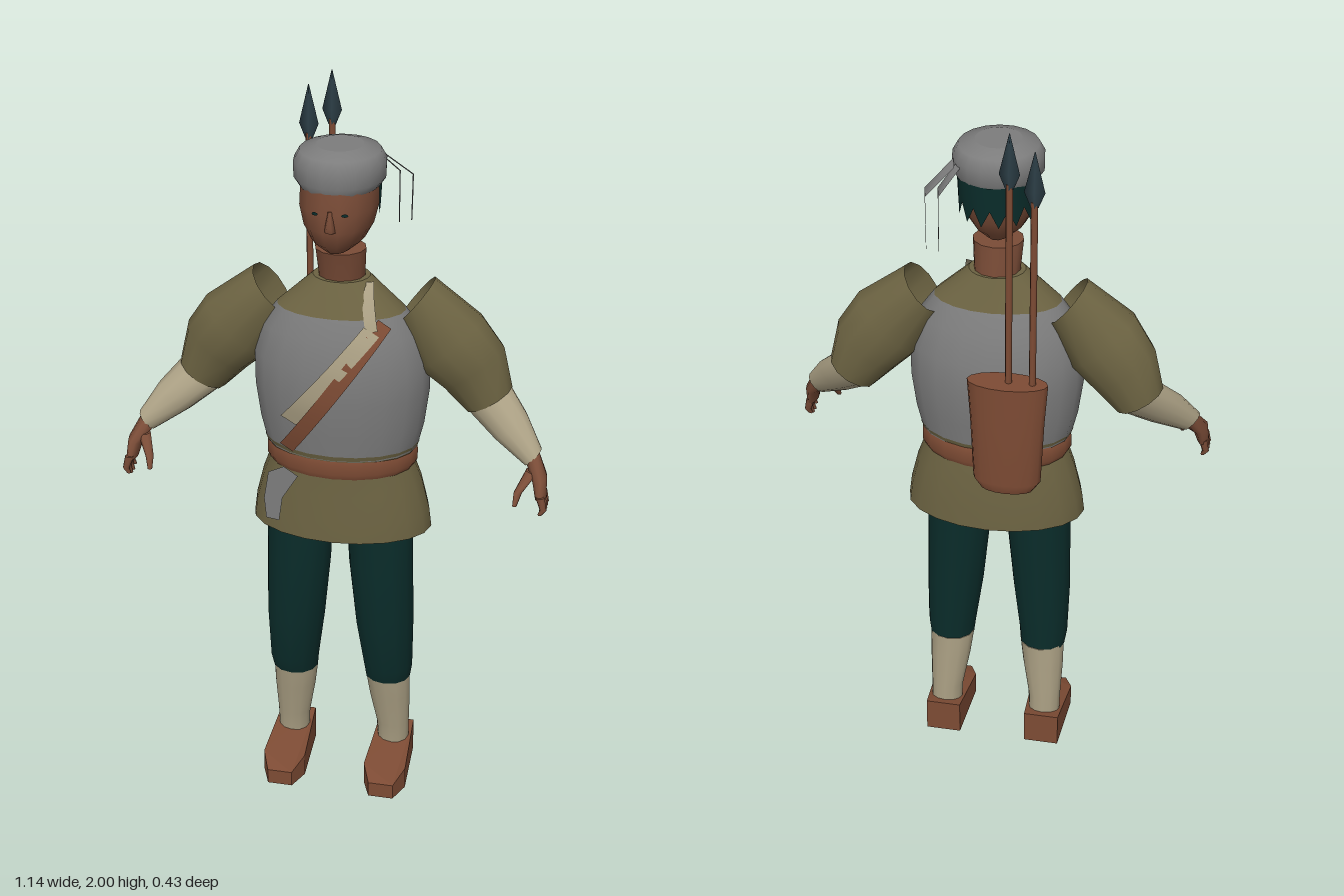
import * as THREE from 'three';

const mat = (name, color, side = THREE.FrontSide) => {
  const m = new THREE.MeshStandardMaterial({ color, side });
  m.name = name;
  return m;
};

// Skin rings listed from bottom to top: [x, y, z, radiusU, radiusZ, tilt in the xy plane]
function loft(rings, sides = 16, capped = true) {
  const pos = [], idx = [];
  const addRing = ([x, y, z, ru, rz, tilt = 0]) => {
    for (let i = 0; i < sides; i++) {
      const a = (i / sides) * Math.PI * 2, u = Math.cos(a) * ru;
      pos.push(x + u * Math.cos(tilt), y + u * Math.sin(tilt), z + Math.sin(a) * rz);
    }
  };
  rings.forEach(addRing);
  for (let r = 0; r < rings.length - 1; r++) {
    for (let i = 0; i < sides; i++) {
      const j = (i + 1) % sides, a = r * sides + i, b = r * sides + j;
      idx.push(a, a + sides, b, b, a + sides, b + sides);
    }
  }
  if (capped) {
    for (const [ring, top] of [[rings[0], false], [rings[rings.length - 1], true]]) {
      const base = pos.length / 3;
      addRing(ring);
      pos.push(ring[0], ring[1], ring[2]);
      for (let i = 0; i < sides; i++) {
        const a = base + i, b = base + (i + 1) % sides, c = base + sides;
        top ? idx.push(b, a, c) : idx.push(a, b, c);
      }
    }
  }
  const g = new THREE.BufferGeometry();
  g.setAttribute('position', new THREE.Float32BufferAttribute(pos, 3));
  g.setIndex(idx);
  g.computeVertexNormals();
  return g;
}

// Flat band through points, widened both ways by the vector w
function ribbon(points, w) {
  const pos = [], idx = [];
  points.forEach(([x, y, z], i) => {
    pos.push(x - w[0], y - w[1], z - w[2], x + w[0], y + w[1], z + w[2]);
    if (i) idx.push(2 * i - 2, 2 * i - 1, 2 * i, 2 * i - 1, 2 * i + 1, 2 * i);
  });
  const g = new THREE.BufferGeometry();
  g.setAttribute('position', new THREE.Float32BufferAttribute(pos, 3));
  g.setIndex(idx);
  g.computeVertexNormals();
  return g;
}

// Torso cross-sections from waist to collar
const TORSO = [
  [0, 1.05, 0.035, 0.205, 0.138], [0, 1.12, 0.035, 0.222, 0.147], [0, 1.22, 0.035, 0.235, 0.157],
  [0, 1.31, 0.038, 0.235, 0.15], [0, 1.39, 0.042, 0.21, 0.128], [0, 1.445, 0.045, 0.17, 0.102],
  [0, 1.49, 0.043, 0.12, 0.082], [0, 1.53, 0.04, 0.075, 0.064],
];

// Front surface of the torso at (x, y)
function chestZ(x, y) {
  let k = 0;
  while (k < TORSO.length - 2 && TORSO[k + 1][1] < y) k++;
  const a = TORSO[k], b = TORSO[k + 1];
  const t = THREE.MathUtils.clamp((y - a[1]) / (b[1] - a[1]), 0, 1);
  const at = (n) => a[n] + (b[n] - a[n]) * t;
  return at(2) + at(4) * Math.sqrt(Math.max(0.05, 1 - (x / at(3)) ** 2)) + 0.008;
}

// Straight strap laid over the chest
function strap(x0, y0, x1, y1, w) {
  const pts = [];
  for (let i = 0; i <= 10; i++) {
    const x = x0 + (x1 - x0) * i / 10, y = y0 + (y1 - y0) * i / 10;
    pts.push([x, y, chestZ(x, y)]);
  }
  return ribbon(pts, w);
}

// Wedge shoe: tapered outline, low at the toe and high at the heel
function shoeGeometry() {
  const s = new THREE.Shape([[-0.05, 0.04], [0.05, 0.04], [0.06, -0.15], [0.035, -0.21], [-0.035, -0.21], [-0.06, -0.15]]
    .map(([x, y]) => new THREE.Vector2(x, y)).reverse());
  const g = new THREE.ExtrudeGeometry(s, { depth: 1, bevelEnabled: false });
  g.rotateX(-Math.PI / 2);
  const p = g.attributes.position;
  for (let i = 0; i < p.count; i++) {
    const z = p.getZ(i);
    if (p.getY(i) > 0.5) p.setY(i, z > 0.18 ? 0.045 : 0.1 - (z + 0.04) * 0.18);
  }
  g.computeVertexNormals();
  return g;
}

export function createModel() {
  const model = new THREE.Group();
  model.name = 'hunter';
  const D = THREE.DoubleSide;
  const skin = mat('skin', 0x7a4c37), leather = mat('leather', 0x7d4b34);
  const olive = mat('oliveCloth', 0x6c6342, D), grey = mat('greyCloth', 0x7c7c7c, D);
  const cream = mat('creamCloth', 0xaba084, D), teal = mat('darkTealCloth', 0x0a2c2a, D);
  const steel = mat('steel', 0x2c3e46), strapBrown = mat('strapLeather', 0x7d4b34, D);
  const add = (name, geo, material, parent = model) => {
    const m = new THREE.Mesh(geo, material);
    m.name = name;
    parent.add(m);
    return m;
  };

  // Torso, belt and skirt
  add('vest', loft(TORSO.slice(0, 6), 20, false), grey);
  add('shirtYoke', loft(TORSO.slice(5), 20), olive);
  add('shirtHem', loft([[0, 1.04, 0.035, 0.2, 0.135], [0, 1.065, 0.035, 0.21, 0.142]], 20, false), olive);
  add('belt', loft([[0, 0.995, 0.033, 0.198, 0.137], [0, 1.01, 0.033, 0.206, 0.143],
    [0, 1.04, 0.033, 0.206, 0.143], [0, 1.053, 0.033, 0.198, 0.137]], 20), leather);
  add('skirt', loft([[0, 0.805, 0.03, 0.247, 0.148], [0, 0.86, 0.03, 0.24, 0.146],
    [0, 0.94, 0.03, 0.22, 0.14], [0, 1.0, 0.033, 0.198, 0.134]], 20, false), olive);

  // Chest straps and the cloth tucked in the belt
  add('sashTop', strap(0.075, 1.525, 0.1, 1.42, [0.016, 0.003, 0]), cream);
  add('sash', strap(0.1, 1.42, -0.115, 1.16, [0.02, -0.012, 0]), cream);
  add('quiverStrap', strap(0.13, 1.435, -0.125, 1.07, [0.017, -0.011, 0]), strapBrown);
  const cloth = new THREE.Shape([[-0.167, 1.01], [-0.125, 1.03], [-0.087, 1.005], [-0.13, 0.935],
    [-0.14, 0.865], [-0.175, 0.87], [-0.18, 0.93]].map(([x, y]) => new THREE.Vector2(x, y)));
  add('beltCloth', new THREE.ShapeGeometry(cloth), grey).position.z = 0.19;

  // Neck, head and face
  add('neck', loft([[0, 1.5, 0.035, 0.06, 0.055], [0, 1.54, 0.04, 0.062, 0.057], [0, 1.61, 0.053, 0.067, 0.063]], 12), skin);
  add('head', loft([[0, 1.622, 0.075, 0.035, 0.065], [0, 1.65, 0.077, 0.068, 0.095], [0, 1.69, 0.07, 0.09, 0.112],
    [0, 1.74, 0.065, 0.102, 0.12], [0, 1.8, 0.06, 0.1, 0.115]], 14), skin);
  add('nose', loft([[0, 1.695, 0.18, 0.014, 0.012], [0, 1.71, 0.182, 0.012, 0.014], [0, 1.75, 0.18, 0.005, 0.006]], 6), skin);
  for (const s of [1, -1]) {
    const eye = add('eye', new THREE.CircleGeometry(0.009, 8), teal);
    eye.position.set(s * 0.038, 1.742, 0.181);
    eye.rotation.y = s * 0.3;
    eye.scale.y = 0.5;
  }
  // Jagged hair wrapped round the back of the head
  const hairPos = [], hairIdx = [];
  for (let i = 0; i <= 12; i++) {
    const a = Math.PI * (1.08 + 0.84 * i / 12), low = i % 2 ? 1.69 : 1.735;
    hairPos.push(Math.cos(a) * 0.106, 1.8, 0.06 + Math.sin(a) * 0.124);
    hairPos.push(Math.cos(a) * 0.103, low, 0.064 + Math.sin(a) * 0.126);
    if (i) hairIdx.push(2 * i - 2, 2 * i, 2 * i - 1, 2 * i - 1, 2 * i, 2 * i + 1);
  }
  const hair = new THREE.BufferGeometry();
  hair.setAttribute('position', new THREE.Float32BufferAttribute(hairPos, 3));
  hair.setIndex(hairIdx);
  hair.computeVertexNormals();
  add('hair', hair, teal);

  // Cap with two hanging tails
  add('cap', loft([[0, 1.785, 0.06, 0.103, 0.113], [0, 1.805, 0.058, 0.117, 0.123], [0, 1.845, 0.056, 0.118, 0.125],
    [0, 1.872, 0.056, 0.103, 0.11], [0, 1.885, 0.056, 0.06, 0.065]], 18), grey);
  add('capTailOuter', ribbon([[0.1, 1.84, -0.015], [0.165, 1.775, -0.06], [0.158, 1.64, -0.088]], [0.004, 0.006, 0.014]), grey);
  add('capTailInner', ribbon([[0.085, 1.84, -0.02], [0.13, 1.78, -0.065], [0.125, 1.63, -0.09]], [0.004, 0.006, 0.014]), grey);

  // Arms and legs, mirrored
  for (const s of [1, -1]) {
    const side = s > 0 ? 'left' : 'right';
    const limb = (rings, sides, capped) => loft(rings.map(([x, y, z, u, v, t = 0]) => [x * s, y, z, u, v, t * s]), sides, capped);
    const arm = new THREE.Group();
    arm.name = side + 'Arm';
    model.add(arm);
    add('sleeve', limb([[0.39, 1.198, 0.008, 0.07, 0.065, 0.56], [0.345, 1.285, 0.008, 0.1, 0.078, 0.66],
      [0.285, 1.355, 0.02, 0.112, 0.09, 0.74], [0.193, 1.465, 0.015, 0.075, 0.072, 0.9]], 12, false), olive, arm);
    add('forearm', limb([[0.522, 1.085, 0.1, 0.032, 0.03, 0.85], [0.455, 1.145, 0.055, 0.055, 0.05, 0.7],
      [0.39, 1.2, 0.01, 0.066, 0.061, 0.58]], 12, true), cream, arm);
    add('palm', limb([[0.552, 1.0, 0.155, 0.015, 0.036], [0.545, 1.045, 0.138, 0.02, 0.038, 0.3],
      [0.518, 1.09, 0.1, 0.024, 0.025, 0.8]], 10, true), skin, arm);
    for (let i = 0; i < 4; i++) {
      const z = 0.128 + i * 0.018;
      add('finger', limb([[0.555, 0.95 + Math.abs(i - 1.5) * 0.008, z + 0.005, 0.006, 0.006], [0.563, 0.975, z + 0.003, 0.009, 0.009],
        [0.553, 1.01, z, 0.012, 0.01]], 6, true), skin, arm);
    }
    add('thumb', limb([[0.49, 0.99, 0.203, 0.006, 0.007], [0.495, 1.02, 0.185, 0.011, 0.012],
      [0.525, 1.06, 0.13, 0.018, 0.018]], 7, true), skin, arm);

    const leg = new THREE.Group();
    leg.name = side + 'Leg';
    model.add(leg);
    add('trouserLeg', limb([[0.134, 0.315, 0.045, 0.064, 0.057], [0.135, 0.36, 0.052, 0.07, 0.065],
      [0.126, 0.51, 0.063, 0.082, 0.08], [0.115, 0.7, 0.066, 0.09, 0.082], [0.111, 0.85, 0.065, 0.09, 0.082]], 12, true), teal, leg);
    add('stocking', limb([[0.147, 0.08, 0.018, 0.045, 0.038], [0.146, 0.14, 0.022, 0.047, 0.041],
      [0.138, 0.25, 0.036, 0.059, 0.052], [0.133, 0.325, 0.044, 0.064, 0.058]], 12, true), cream, leg);
    add('shoe', shoeGeometry(), leather, leg).position.x = s * 0.147;
  }

  // Quiver on the back holding two spears
  add('quiver', loft([[-0.067, 0.99, -0.17, 0.07, 0.032], [-0.067, 1.02, -0.17, 0.09, 0.042],
    [-0.067, 1.2, -0.17, 0.098, 0.045], [-0.067, 1.315, -0.17, 0.106, 0.046]], 16), leather);
  for (const [x, tip] of [[-0.132, 1.958], [-0.07, 2]]) {
    add('spearShaft', loft([[x, 1.25, -0.17, 0.009, 0.009], [x, tip - 0.13, -0.17, 0.009, 0.009]], 8), leather);
    add('spearHead', loft([[x, tip - 0.145, -0.17, 0.01, 0.009], [x, tip - 0.105, -0.17, 0.026, 0.01],
      [x, tip, -0.17, 0.001, 0.001]], 4), steel);
  }
  return model;
}
